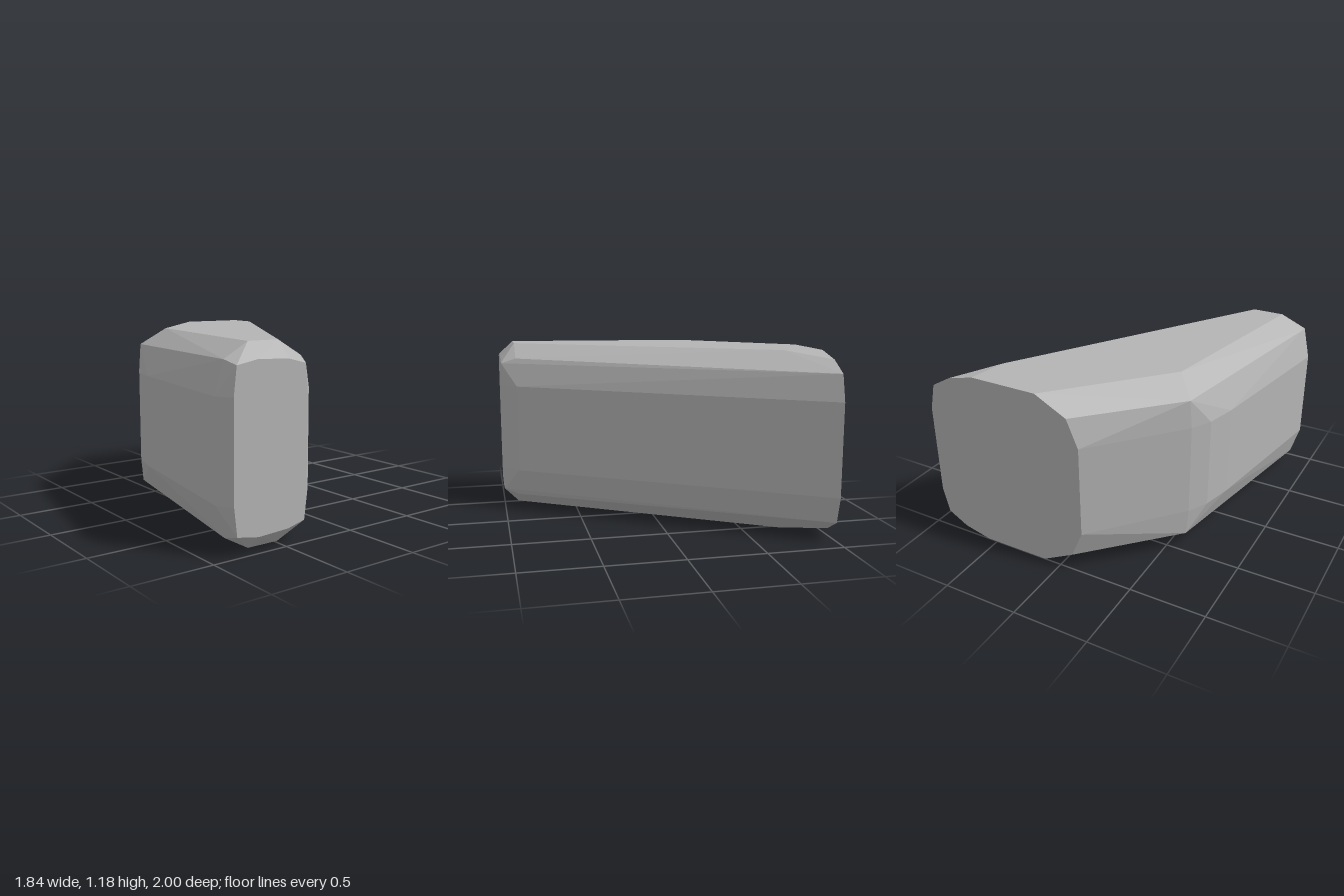
import * as THREE from 'three';
import { ConvexGeometry } from 'three/addons/geometries/ConvexGeometry.js';

const HEIGHT = 1.18;

export function createModel() {
  const group = new THREE.Group();
  group.name = 'bevelledBlock';
  const grey = new THREE.MeshStandardMaterial({ color: 0xb4b4b4 });
  grey.name = 'grey';

  // upper half of each outline as [x, y], with the z it lies on
  const sections = [
    // narrow front face
    { z: 1, outline: [[-0.865, 0.89], [-0.845, 1.06], [-0.7, 1.085], [-0.49, 1.075], [-0.37, 1.045], [-0.355, 0.89]] },
    // end of the front bevel
    { z: 0.9, outline: [[-0.92, 0.89], [-0.86, 1.085], [-0.7, 1.175], [-0.49, 1.175], [-0.325, 1.08], [-0.26, 0.89]] },
    // bend in the right side
    { z: -0.13, outline: [[-0.75, 0.89]] },
    { z: -0.33, outline: [[-0.7, 0.89], [-0.49, HEIGHT]] },
    { z: -0.46, outline: [[-0.63, 0.89], [-0.615, 1.07]] },
    // end of the top's long edge
    { z: -0.75, outline: [[0.53, HEIGHT]] },
    // wide flat back face
    { z: -1, outline: [[-0.165, 0.89], [-0.09, 1.07], [0.12, HEIGHT], [0.57, HEIGHT], [0.75, 1.135], [0.88, 1.06], [0.92, 0.89]] },
  ];

  // mirror the outlines about mid height and wrap them in flat facets
  const points = [];
  for (const { z, outline } of sections) {
    for (const [x, y] of outline) {
      points.push(new THREE.Vector3(x, y, z), new THREE.Vector3(x, HEIGHT - y, z));
    }
  }
  const body = new THREE.Mesh(new ConvexGeometry(points), grey);
  body.name = 'body';
  group.add(body);
  return group;
}
